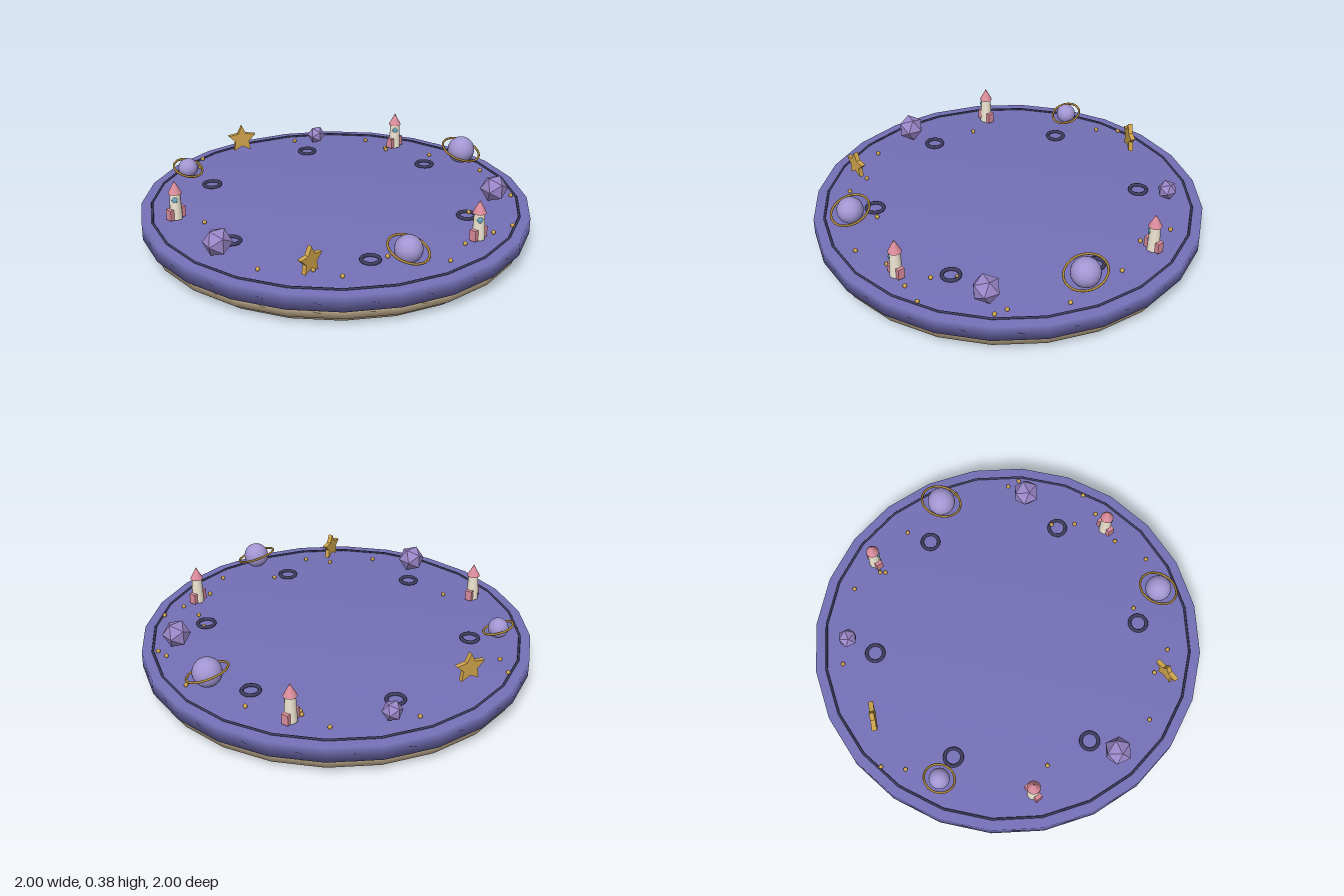
import * as THREE from 'three';

const mat = (color, flatShading = false) => new THREE.MeshStandardMaterial({ color, flatShading });
const MATS = {
  board: mat(0x7571b8), cream: mat(0xd9c2a0), line: mat(0x3f3c5e), lavender: mat(0xa295d2),
  rock: mat(0x9a86c8, true), gold: mat(0xcfa44c), ringGold: mat(0xa88438), body: mat(0xf0e6d2),
  pink: mat(0xdb8c9c), glass: mat(0x6aa9c4),
};
const TOP = 0.17;

function add(parent, name, geometry, material, x = 0, y = 0, z = 0) {
  const mesh = new THREE.Mesh(geometry, material);
  mesh.name = name;
  mesh.position.set(x, y, z);
  parent.add(mesh);
  return mesh;
}

function group(parent, name, x, y, z) {
  const g = new THREE.Group();
  g.name = name;
  g.position.set(x, y, z);
  parent.add(g);
  return g;
}

function lathe(points) {
  return new THREE.LatheGeometry(points.map(([r, y]) => new THREE.Vector2(r, y)), 24);
}

// Ball with a tilted hoop around it
function planet(parent, x, y, z, r, ringR) {
  const g = group(parent, 'planet', x, y, z);
  add(g, 'planetBall', new THREE.SphereGeometry(r, 24, 16), MATS.lavender);
  const ring = add(g, 'planetRing', new THREE.TorusGeometry(ringR, 0.006, 8, 40), MATS.ringGold);
  ring.rotation.set(Math.PI / 2 + 0.33, 0, -0.12, 'ZXY');
}

// Cylinder body, cone nose, two fins and a porthole
function rocket(parent, x, z) {
  const g = group(parent, 'rocket', x, TOP, z);
  add(g, 'rocketBody', new THREE.CylinderGeometry(0.026, 0.032, 0.14, 16), MATS.body, 0, 0.075, 0);
  add(g, 'rocketNose', new THREE.ConeGeometry(0.034, 0.065, 16), MATS.pink, 0, 0.174, 0);
  const fins = group(g, 'rocketFins', 0, 0.034, 0);
  fins.rotation.y = 0.25;
  for (const s of [-1, 1]) {
    add(fins, 'rocketFin', new THREE.BoxGeometry(0.022, 0.055, 0.036), MATS.pink, s * 0.036, 0, 0);
  }
  const a = -0.5;
  const port = add(g, 'porthole', new THREE.SphereGeometry(0.015, 12, 8), MATS.glass,
    Math.sin(a) * 0.026, 0.112, Math.cos(a) * 0.026);
  port.rotation.y = a;
  port.scale.z = 0.5;
}

// Upright five-pointed star
function star(parent, x, y, z, r, turn) {
  const shape = new THREE.Shape();
  for (let i = 0; i < 10; i++) {
    const a = Math.PI / 2 + (i * Math.PI) / 5;
    const d = i % 2 ? r * 0.5 : r;
    shape[i ? 'lineTo' : 'moveTo'](d * Math.cos(a), d * Math.sin(a));
  }
  shape.closePath();
  const geo = new THREE.ExtrudeGeometry(shape, { depth: 0.024, bevelEnabled: false });
  geo.translate(0, 0, -0.012);
  add(parent, 'star', geo, MATS.gold, x, y, z).rotation.y = turn;
}

export function createModel() {
  const model = new THREE.Group();
  model.name = 'spaceBoard';

  // Stepped base and round board
  add(model, 'base', lathe([[0, 0], [0.92, 0], [0.92, 0.035]]), MATS.cream);
  add(model, 'baseStep', lathe([[0, 0.035], [0.965, 0.035], [0.965, 0.09], [0, 0.09]]), MATS.cream);
  add(model, 'board', lathe([[0, 0.09], [1, 0.09], [1, TOP], [0, TOP]]), MATS.board);
  const rim = add(model, 'rimLine', new THREE.TorusGeometry(0.945, 0.006, 6, 24), MATS.line, 0, TOP + 0.003, 0);
  rim.rotation.x = Math.PI / 2;

  // Small crater rings, evenly spaced
  for (let i = 0; i < 6; i++) {
    const a = -0.2 + (i * Math.PI) / 3;
    const crater = add(model, 'crater', new THREE.TorusGeometry(0.044, 0.009, 8, 24), MATS.line,
      0.687 * Math.cos(a), TOP + 0.006, 0.687 * Math.sin(a));
    crater.rotation.x = Math.PI / 2;
  }

  planet(model, 0.82, 0.277, 0, 0.073, 0.105);
  planet(model, -0.12, 0.272, 0.81, 0.067, 0.1);
  planet(model, -0.54, 0.25, -0.625, 0.052, 0.077);

  for (const [x, z, r] of [[-0.79, 0.23, 0.072], [0.69, 0.44, 0.072], [0.34, -0.75, 0.051]]) {
    add(model, 'asteroid', new THREE.IcosahedronGeometry(r), MATS.rock, x, TOP + r * 0.97, z);
  }

  for (const [x, z] of [[-0.79, -0.235], [0.69, -0.45], [0.34, 0.745]]) rocket(model, x, z);

  star(model, -0.535, 0.255, 0.637, 0.072, 0.27);
  star(model, -0.125, 0.275, -0.797, 0.08, -0.28);

  // Scattered beads
  const beads = [
    [-0.345, -0.86], [-0.41, -0.755], [0.235, -0.825], [0.595, -0.61], [0.625, -0.45], [0.612, -0.425],
    [0.775, -0.225], [-0.695, -0.11], [0.875, 0.105], [0.795, 0.385], [0.8, 0.45], [-0.705, 0.46],
    [-0.495, 0.6], [-0.415, 0.72], [-0.135, 0.67], [0.435, 0.61], [0.44, 0.74], [0.57, 0.73],
    [0.25, 0.76], [0.085, 0.86], [0.485, 0.495],
  ];
  const beadGeo = new THREE.SphereGeometry(0.011, 10, 8);
  for (const [x, z] of beads) add(model, 'bead', beadGeo, MATS.gold, x, TOP + 0.008, z);

  return model;
}
